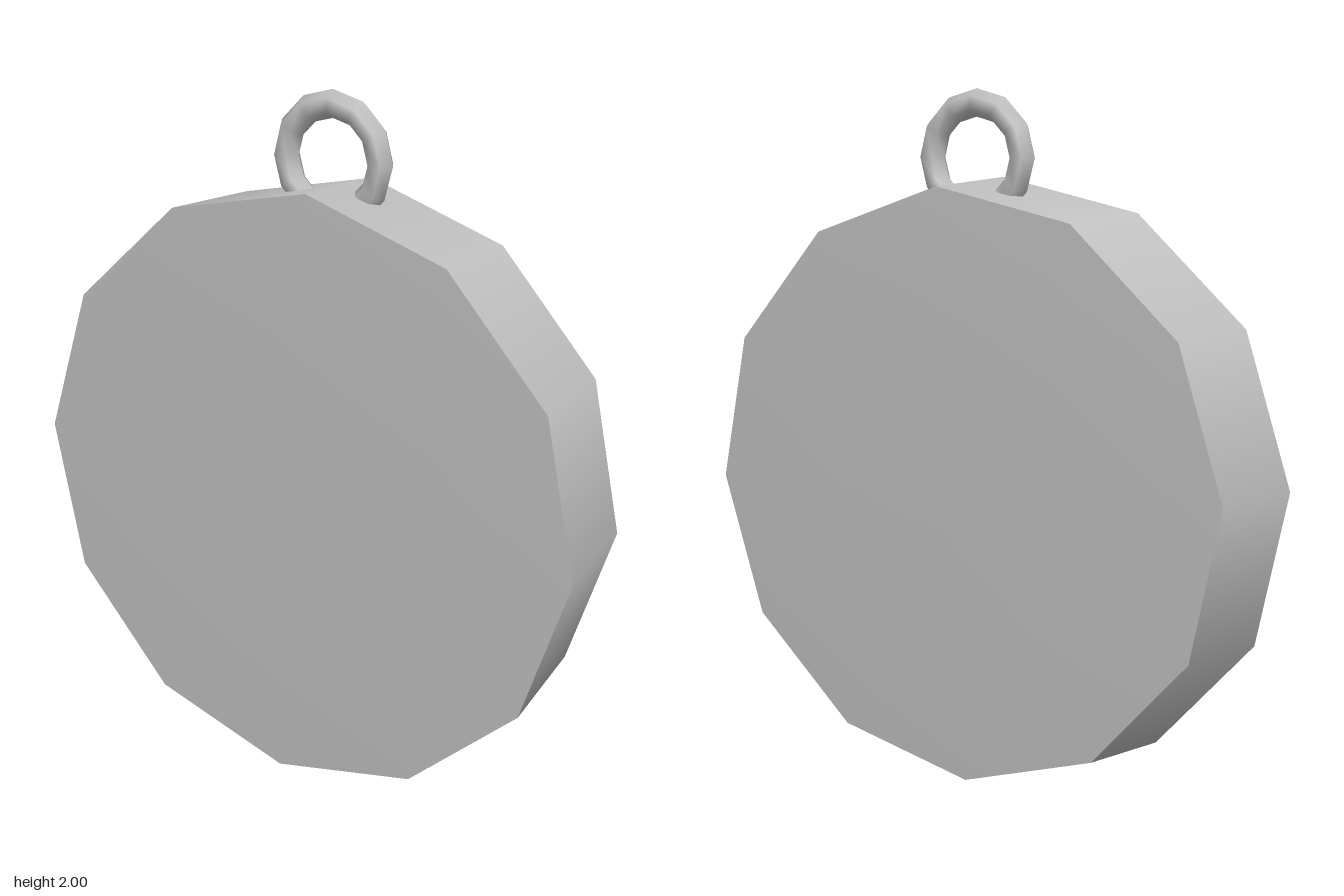
import * as THREE from 'three';

export function createModel() {
  const model = new THREE.Group();
  const grey = new THREE.MeshStandardMaterial({ color: 0xc0c0c0 });
  grey.name = 'grey metal';

  const sides = 12;
  const twist = THREE.MathUtils.degToRad(-3.2);

  // Twelve-sided ring surface around z; profile pairs are [radius, z], back to front
  function discPart(name, profile) {
    const points = profile.map(([r, z]) => new THREE.Vector2(r, z));
    const geometry = new THREE.LatheGeometry(points, sides, twist);
    geometry.rotateX(Math.PI / 2);
    // The back face sits slightly higher than the front
    const p = geometry.attributes.position;
    for (let i = 0; i < p.count; i++) {
      p.setY(i, p.getY(i) + 0.876 + (0.173 - p.getZ(i)) * 0.038);
    }
    geometry.computeBoundingSphere();
    const mesh = new THREE.Mesh(geometry, grey);
    mesh.name = name;
    model.add(mesh);
  }

  const front = [0.877, 0.173];
  const back = [0.846, -0.168];

  // Tapered rim and two gently domed faces, creased where they meet
  discPart('rim', [back, front]);
  discPart('frontFace', [front, [0.5, 0.183], [0, 0.184]]);
  discPart('backFace', [[0, -0.184], [0.5, -0.182], back]);

  // Hanging loop, its lower part sunk into the rim
  const loop = new THREE.Mesh(new THREE.TorusGeometry(0.151, 0.039, 6, 12), grey);
  loop.name = 'hangingLoop';
  loop.position.set(0.02, 1.81, -0.008);
  model.add(loop);

  return model;
}
